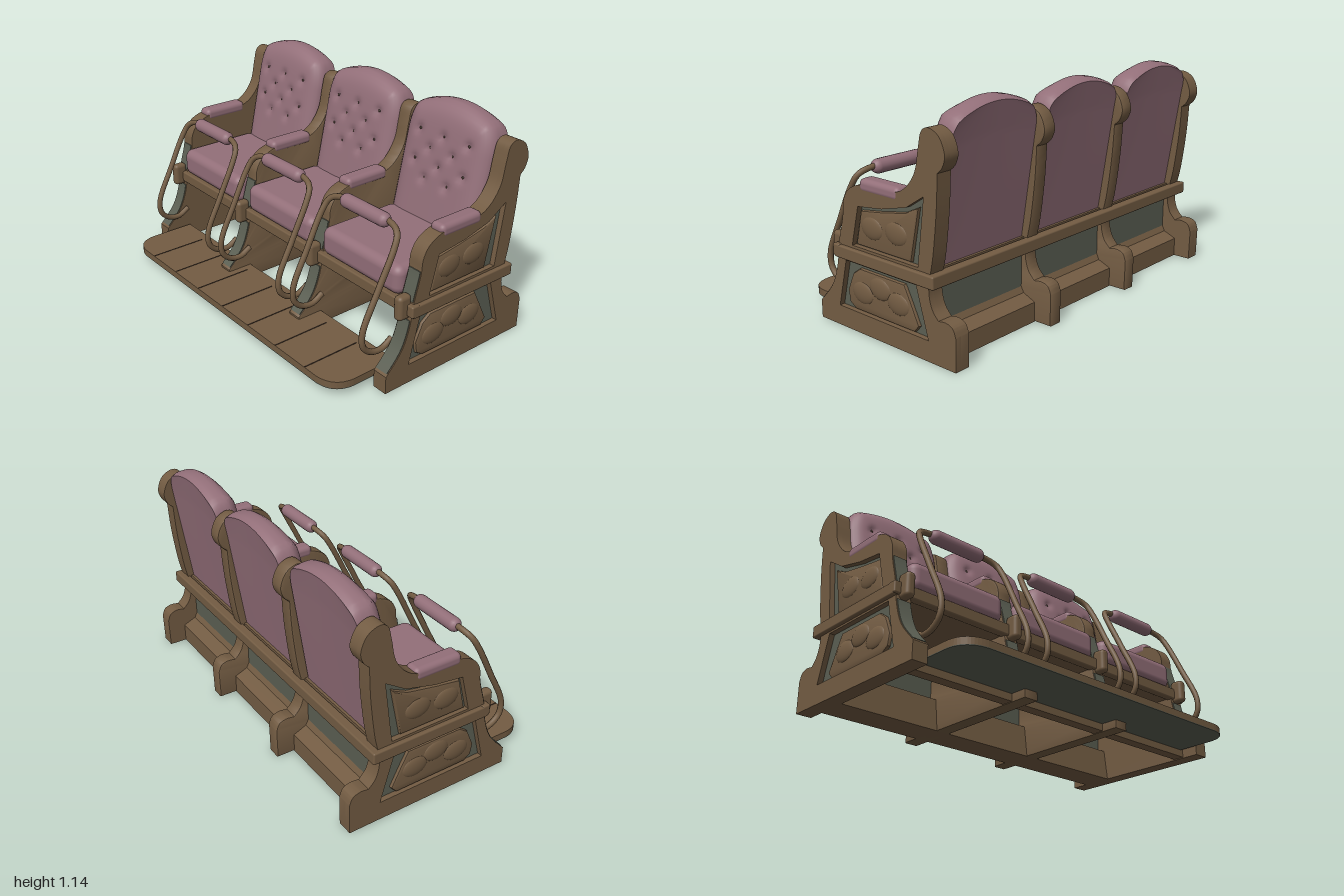
import * as THREE from 'three';
import { mergeVertices, toCreasedNormals } from 'three/addons/utils/BufferGeometryUtils.js';
import { RoundedBoxGeometry } from 'three/addons/geometries/RoundedBoxGeometry.js';

const mat = (name, color) => Object.assign(new THREE.MeshStandardMaterial({ color }), { name });
const V2 = (list) => list.map(([a, b]) => new THREE.Vector2(a, b));
const CURVE_STEPS = 5; // per control point of a spline

export function createModel() {
  const wood = mat('brown wood', 0x735c43);
  const pink = mat('pink upholstery', 0x936f79);
  const grey = mat('grey green paint', 0x5b5f53);
  const dark = mat('dark seam', 0x3a2c22);
  const root = new THREE.Group();
  root.name = 'tripleSeatBench';

  const add = (name, geo, material, x = 0, y = 0, z = 0, parent = root) => {
    const m = new THREE.Mesh(geo, material);
    m.name = name;
    m.position.set(x, y, z);
    parent.add(m);
    return m;
  };
  // Box given by its limits
  const box = (name, material, x0, x1, y0, y1, z0, z1, r = 0, parent = root) => {
    const s = [x1 - x0, y1 - y0, z1 - z0];
    const g = r ? new RoundedBoxGeometry(...s, 3, r) : new THREE.BoxGeometry(...s);
    return add(name, g, material, (x0 + x1) / 2, (y0 + y1) / 2, (z0 + z1) / 2, parent);
  };
  // Extrudes a (z, y) outline along x, centred on x = 0
  const slab = (shape, width, bevel = 0) => {
    const g = new THREE.ExtrudeGeometry(shape, {
      depth: width - 2 * bevel, curveSegments: CURVE_STEPS, bevelEnabled: bevel > 0,
      bevelSize: bevel, bevelThickness: bevel, bevelOffset: -bevel, bevelSegments: 2,
    });
    g.translate(0, 0, -(width - 2 * bevel) / 2).rotateY(-Math.PI / 2);
    return toCreasedNormals(g, 0.6);
  };

  // Side outline: foot, swept front, arm, scrolled top and back
  const outline = () => {
    const s = new THREE.Shape();
    s.moveTo(-0.565, 0);
    s.lineTo(0.34, 0);
    s.lineTo(0.34, 0.09);
    s.splineThru(V2([[0.25, 0.19], [0.205, 0.3], [0.185, 0.42], [0.15, 0.55], [0.14, 0.63],
      [0.1, 0.69], [0.02, 0.725], [-0.1, 0.732], [-0.2, 0.732], [-0.28, 0.77], [-0.34, 0.85],
      [-0.365, 0.96], [-0.385, 1.03], [-0.43, 1.05], [-0.49, 1.02], [-0.52, 0.95], [-0.505, 0.895], [-0.475, 0.865]]));
    s.splineThru(V2([[-0.465, 0.7], [-0.44, 0.5], [-0.41, 0.35], [-0.425, 0.26], [-0.465, 0.21]]));
    s.splineThru(V2([[-0.51, 0.215], [-0.55, 0.2], [-0.568, 0.16]]));
    s.closePath();
    return s;
  };
  // Painted strip following the front edge between two heights
  const frontStrip = (y0, y1) => {
    const pts = outline().getPoints(CURVE_STEPS).filter((p) => p.x > 0.1 && p.y > y0 && p.y < y1);
    const front = pts.map((p) => new THREE.Vector2(p.x + 0.005, p.y));
    const back = pts.map((p) => new THREE.Vector2(p.x - 0.003, p.y)).reverse();
    return slab(new THREE.Shape([...front, ...back]), 0.07);
  };
  const strips = [frontStrip(0.1, 0.34), frontStrip(0.42, 0.58)];

  const upper = [[0.09, 0.425], [0.04, 0.62], [-0.12, 0.64], [-0.28, 0.68], [-0.39, 0.75], [-0.345, 0.425]];
  const lower = [[0.2, 0.1], [0.14, 0.34], [-0.33, 0.34], [-0.4, 0.1]];
  const upperRelief = [[0.075, 0.43], [0.035, 0.6], [-0.1, 0.62], [-0.26, 0.65], [-0.345, 0.69], [-0.29, 0.43]];
  const lowerRelief = [[0.14, 0.13], [0.15, 0.19], [0.11, 0.28], [0.06, 0.315], [-0.24, 0.315],
    [-0.28, 0.24], [-0.33, 0.14], [-0.3, 0.105], [0.1, 0.105]];

  // Outer sides with two recessed, carved panels each
  const frame = outline();
  for (const hole of [upper, lower]) frame.holes.push(new THREE.Path(V2(hole)));
  for (const s of [-1, 1]) {
    const side = new THREE.Group();
    side.name = s > 0 ? 'leftSide' : 'rightSide';
    root.add(side);
    add('sideCore', slab(outline(), 0.05), wood, s * 0.925, 0, 0, side);
    add('sideFrame', slab(frame, 0.03), wood, s * 0.965, 0, 0, side);
    for (const [edge, relief] of [[upper, upperRelief], [lower, lowerRelief]]) {
      add('paintedRecess', slab(new THREE.Shape(V2(edge)), 0.004), grey, s * 0.951, 0, 0, side);
      add('carvedRelief', slab(new THREE.Shape(V2(relief)), 0.03, 0.012), wood, s * 0.955, 0, 0, side);
    }
    for (const [z, y] of [[-0.04, 0.53], [-0.2, 0.54], [0.04, 0.2], [-0.2, 0.21], [-0.08, 0.25]]) {
      const boss = add('carvedBoss', new THREE.SphereGeometry(1, 20, 14), wood, s * 0.964, y, z, side);
      boss.scale.set(0.018, 0.055, 0.075);
    }
    box('sideRail', wood, s * 0.985 - 0.015, s * 0.985 + 0.015, 0.35, 0.412, -0.45, 0.2, 0.008, side);
  }

  // Inner dividers
  for (const x of [-0.305, 0.305]) add('divider', slab(outline(), 0.08, 0.008), wood, x);

  // Arm pads, front knobs and painted front edges on all four uprights
  for (const x of [-0.94, -0.305, 0.305, 0.94]) {
    box('armPad', pink, x - 0.043, x + 0.043, 0.69, 0.755, -0.23, 0.03, 0.025);
    box('frontKnob', wood, x - 0.025, x + 0.025, 0.335, 0.46, 0.18, 0.255, 0.02);
    for (const g of strips) add('paintedFrontEdge', g, grey, x);
  }

  // Long rails, seat board, back panel and floor beams
  box('frontRail', wood, -1, 1, 0.355, 0.415, 0.165, 0.21, 0.008);
  box('backRail', wood, -1, 1, 0.35, 0.412, -0.455, -0.405, 0.008);
  box('seatBoard', wood, -0.9, 0.9, 0.36, 0.415, -0.4, 0.18);
  box('lowerBackPanel', grey, -0.9, 0.9, 0.1, 0.36, -0.385, -0.365);
  const beam = new THREE.Shape(V2([[-0.47, 0], [-0.3, 0], [-0.32, 0.17], [-0.37, 0.19], [-0.4, 0.13], [-0.47, 0.1]]));
  add('floorBackBeam', slab(beam, 1.8), wood);
  box('floorFrontBeam', wood, -0.9, 0.9, 0.005, 0.07, 0.19, 0.25);

  // Footboard with rounded front corners, plank seams and painted underside
  const board = new THREE.Shape();
  board.moveTo(-0.885, -0.2);
  board.lineTo(-0.885, -0.45);
  board.quadraticCurveTo(-0.875, -0.56, -0.76, -0.568);
  board.lineTo(0.76, -0.568);
  board.quadraticCurveTo(0.875, -0.56, 0.885, -0.45);
  board.lineTo(0.885, -0.2);
  const plate = (depth) => new THREE.ExtrudeGeometry(board, { depth, bevelEnabled: false }).rotateX(-Math.PI / 2);
  add('footboard', plate(0.034), wood, 0, 0.046, 0);
  add('footboardUnderside', plate(0.004), grey, 0, 0.042, 0);
  for (let i = -3; i <= 3; i++) box('plankSeam', dark, i * 0.225 - 0.003, i * 0.225 + 0.003, 0.078, 0.082, 0.25, 0.566);

  // Padded backrest: a gridded block bent into an arched, tufted cushion
  const buttons = [];
  for (let r = 0; r < 4; r++) {
    for (const x of r % 2 ? [-0.075, 0.075] : [-0.16, 0, 0.16]) buttons.push([x, 0.975 - r * 0.075]);
  }
  const backrest = () => {
    let g = new THREE.BoxGeometry(2, 1, 1, 36, 44, 4);
    g.deleteAttribute('uv');
    g.deleteAttribute('normal');
    g = mergeVertices(g);
    const p = g.attributes.position;
    for (let i = 0; i < p.count; i++) {
      const u = p.getX(i), v = p.getY(i) + 0.5, w = p.getZ(i) + 0.5;
      const c = Math.max(0, (v - 0.78) / 0.22);
      const x = u * (0.277 - 0.075 * (1 - Math.sqrt(1 - 0.98 * c * c)));
      const y = 0.41 + v * (0.73 - 0.045 * u * u);
      const back = -0.385 - 0.105 * v;
      let front = -0.205 - 0.145 * v;
      // Soft rim towards the sides and top
      front -= 0.055 * Math.max(Math.abs(u) ** 8, v ** 22);
      for (const [bx, by] of buttons) front -= 0.018 * Math.exp(-((x - bx) ** 2 + (y - by) ** 2) / 0.0005);
      p.setXYZ(i, x, y - 0.02 * c * (1 - w) ** 4, back + (front - back) * w);
    }
    return toCreasedNormals(g, 0.9);
  };
  const backGeo = backrest();
  const seatGeo = new RoundedBoxGeometry(0.55, 0.15, 0.48, 5, 0.045);
  const buttonGeo = new THREE.SphereGeometry(0.009, 10, 8);

  // Lap bar: one bent tube, hooked back at the bottom
  const half = [[0.252, 0.195, 0.21], [0.252, 0.162, 0.27], [0.252, 0.17, 0.335], [0.252, 0.215, 0.385],
    [0.252, 0.29, 0.392], [0.252, 0.48, 0.305], [0.25, 0.66, 0.215], [0.235, 0.715, 0.185], [0.19, 0.74, 0.167]];
  const path = [...half, ...half.slice().reverse().map(([x, y, z]) => [-x, y, z])];
  const barGeo = new THREE.TubeGeometry(
    new THREE.CatmullRomCurve3(path.map((q) => new THREE.Vector3(...q)), false, 'centripetal'), 120, 0.015, 10);
  const gripGeo = new THREE.CapsuleGeometry(0.036, 0.25, 6, 18).rotateZ(Math.PI / 2);

  // Three seats
  for (const x of [-0.63, 0, 0.62]) {
    const seat = new THREE.Group();
    seat.name = 'seat';
    seat.position.x = x;
    root.add(seat);
    add('backrest', backGeo, pink, 0, 0, 0, seat);
    add('seatCushion', seatGeo, pink, 0, 0.485, -0.035, seat);
    for (const [bx, by] of buttons) {
      add('tuftButton', buttonGeo, dark, bx, by, -0.205 - 0.145 * ((by - 0.41) / 0.73) - 0.022, seat);
    }
    add('lapBar', barGeo, wood, 0, 0, 0, seat);
    add('lapBarGrip', gripGeo, pink, 0, 0.741, 0.165, seat);
  }
  return root;
}
